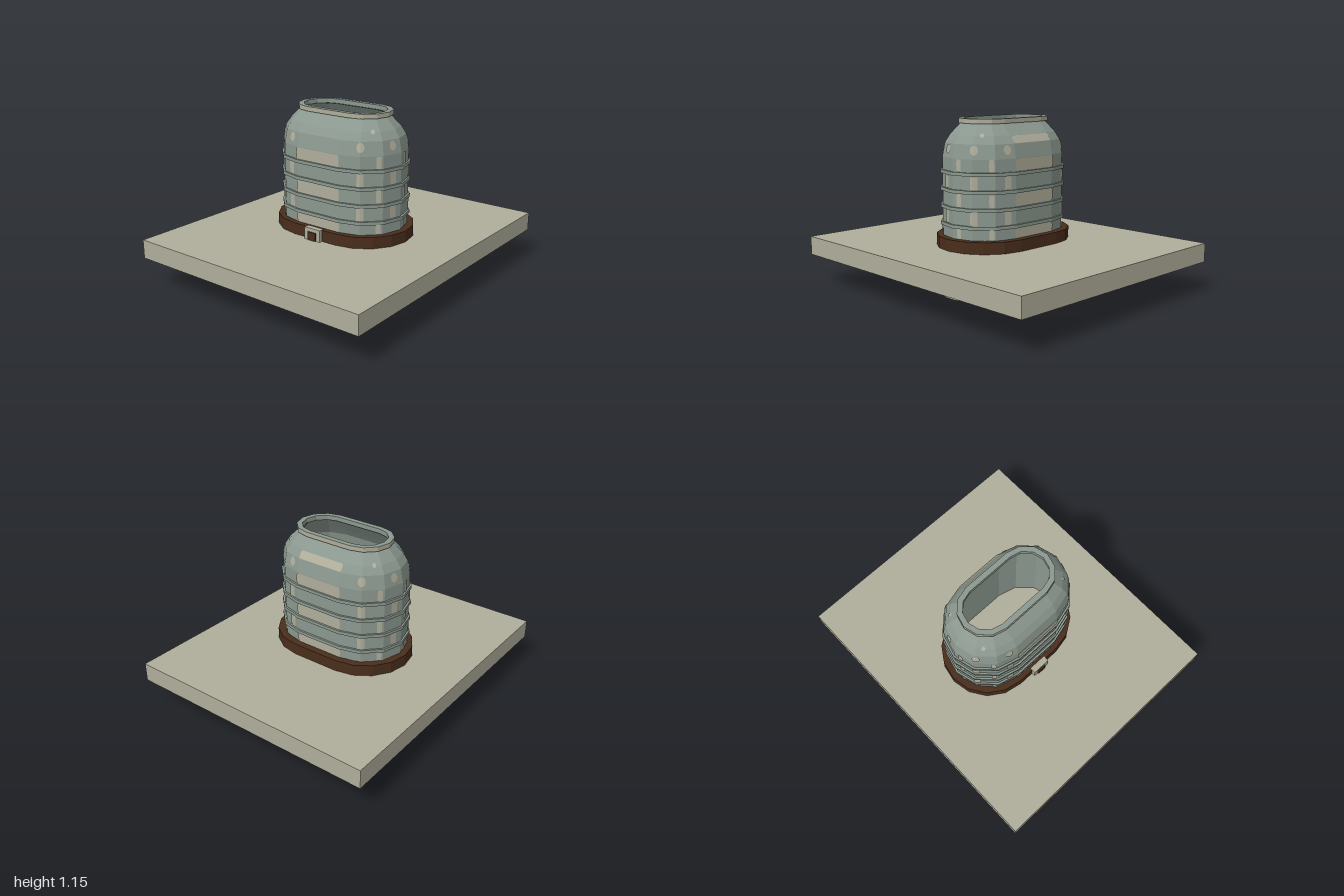
import * as THREE from 'three';

const mat = (name, color, side = THREE.FrontSide) => {
  const m = new THREE.MeshStandardMaterial({ color, side });
  m.name = name;
  return m;
};

const STRAIGHT = 0.165; // half length of the straight part of every oval section
const SEGS = 6;         // facets per half circle of the body
const BODY_Z = 0.005;

// Flat-faceted oval shell: profile is a list of [end radius, height].
// Going up faces outward, going down faces inward.
function ovalShell(profile, segs, z0 = 0) {
  const ring = ([r, y]) => {
    const pts = [];
    for (const half of [0, 1])
      for (let i = 0; i <= segs; i++) {
        const a = Math.PI * (half + i / segs);
        pts.push([(half ? -STRAIGHT : STRAIGHT) + r * Math.sin(a), y, z0 + r * Math.cos(a)]);
      }
    return pts;
  };
  const pos = [];
  for (let k = 0; k < profile.length - 1; k++) {
    const lo = ring(profile[k]), hi = ring(profile[k + 1]);
    lo.forEach((a, i) => {
      const j = (i + 1) % lo.length;
      pos.push(...a, ...lo[j], ...hi[j], ...a, ...hi[j], ...hi[i]);
    });
  }
  const g = new THREE.BufferGeometry();
  g.setAttribute('position', new THREE.Float32BufferAttribute(pos, 3));
  g.computeVertexNormals();
  return g;
}

// Outer silhouette of the body
const OUTER = [[0.278, 0.33], [0.278, 0.91], [0.26, 1.0], [0.228, 1.05], [0.16, 1.12]];

function bodyRadius(y) {
  for (let i = 0; i < OUTER.length - 1; i++) {
    const [r0, y0] = OUTER[i], [r1, y1] = OUTER[i + 1];
    if (y <= y1) return r0 + (r1 - r0) * (y - y0) / (y1 - y0);
  }
  return OUTER[OUTER.length - 1][0];
}

// Thin patch lying on the body. The place is an x on a straight side, or an angle on a round end.
// at(u, y) gives the point; the outline is a rounded rectangle, or an oval when round is 1.
function patch(at, halfWidth, y0, y1, round) {
  const rows = 8, cols = 8, pos = [], idx = [];
  for (let j = 0; j <= rows; j++) {
    const v = -Math.cos(Math.PI * j / rows);
    const corner = Math.sqrt(Math.max(0, 1 - v * v));
    const w = halfWidth * (1 - round + round * corner);
    for (let i = 0; i <= cols; i++)
      pos.push(...at(w * (2 * i / cols - 1), (y0 + y1) / 2 + v * (y1 - y0) / 2));
  }
  for (let j = 0; j < rows; j++)
    for (let i = 0; i < cols; i++) {
      const a = j * (cols + 1) + i, d = a + cols + 1;
      idx.push(a, a + 1, d + 1, a, d + 1, d);
    }
  const g = new THREE.BufferGeometry();
  g.setAttribute('position', new THREE.Float32BufferAttribute(pos, 3));
  g.setIndex(idx);
  g.computeVertexNormals();
  return g;
}
const onFlat = (sign) => (u, y) => [sign * u, y, BODY_Z + sign * (bodyRadius(y) + 0.004)];
const onEnd = (deg, sign) => (u, y) => {
  const r = bodyRadius(y), step = Math.PI / SEGS;
  const a = THREE.MathUtils.degToRad(deg) + u / 0.28;
  const local = a - Math.floor(a / step) * step - step / 2;
  const d = r * Math.cos(step / 2) / Math.cos(local) + 0.005;
  return [sign * (STRAIGHT + d * Math.sin(a)), y, BODY_Z + sign * d * Math.cos(a)];
};

// Curved wall piece standing on its arc, angles in degrees from +x toward +z
function arcWall(r, t, y0, y1, a0, a1, n) {
  const pts = [];
  const add = (rad, k) => {
    const a = THREE.MathUtils.degToRad(a0 + (a1 - a0) * k / n);
    pts.push(new THREE.Vector2(rad * Math.cos(a), rad * Math.sin(a)));
  };
  for (let k = 0; k <= n; k++) add(r, k);
  for (let k = n; k >= 0; k--) add(r - t, k);
  const g = new THREE.ExtrudeGeometry(new THREE.Shape(pts), { depth: y1 - y0, bevelEnabled: false });
  return g.rotateX(Math.PI / 2).translate(0, y1, 0);
}

export function createModel() {
  const model = new THREE.Group();
  const beige = mat('beige', 0xb0ae9b);
  const patchBeige = mat('patchBeige', 0xb0ae9b, THREE.DoubleSide);
  const greyGreen = mat('greyGreen', 0x8b988f);
  const brown = mat('brown', 0x4a2e1c);

  const add = (name, geo, material, parent = model) => {
    const m = new THREE.Mesh(geo, material);
    m.name = name;
    parent.add(m);
    return m;
  };
  const box = (name, w, h, d, x, y, z, material) =>
    add(name, new THREE.BoxGeometry(w, h, d).translate(x, y, z), material);

  // Slab
  box('baseSlab', 1.724, 0.125, 2, 0, 0.2675, 0, beige);

  // Hollow body and rim
  add('bodyOuter', ovalShell(OUTER, SEGS, BODY_Z), greyGreen);
  add('bodyInner', ovalShell([[0.14, 1.12], [0.2, 1.04], [0.235, 0.99], [0.255, 0.9], [0.255, 0.33]], SEGS, BODY_Z), greyGreen);
  add('rimTop', ovalShell([[0.176, 1.15], [0.14, 1.15], [0.14, 1.12]], SEGS), greyGreen);
  add('rimWall', ovalShell([[0.15, 1.12], [0.176, 1.12], [0.176, 1.15]], SEGS), beige);

  // Ribs
  for (const y of [0.484, 0.595, 0.706, 0.817])
    add('rib', ovalShell([[0.27, y - 0.011], [0.291, y - 0.011], [0.291, y + 0.011], [0.27, y + 0.011]], SEGS, BODY_Z), greyGreen);

  // Band around the foot with its buckle
  add('band', ovalShell([[0.32, 0.33], [0.32, 0.405], [0.27, 0.405]], 8), brown);
  for (const s of [-1, 1]) box('buckleSide', 0.03, 0.08, 0.04, s * 0.0475, 0.37, 0.325, beige);
  box('buckleTop', 0.065, 0.024, 0.04, 0, 0.398, 0.325, beige);
  box('buckleTongue', 0.06, 0.054, 0.042, 0, 0.358, 0.332, brown);

  // Pale patches: wide ones on the flat sides, narrow ones and ovals on the round ends
  const patches = new THREE.Group();
  patches.name = 'patches';
  model.add(patches);
  for (const s of [1, -1]) {
    for (const [y0, y1] of [[0.83, 0.908], [0.61, 0.692], [0.408, 0.472]]) {
      add('widePatch', patch(onFlat(s), 0.172, y0, y1, 0.06), patchBeige, patches);
      for (const a of [54, 100, 145])
        add('narrowPatch', patch(onEnd(a, s), 0.016, y0, y1, 0.2), patchBeige, patches);
    }
    for (const a of [30, 76, 122, 168]) {
      for (const [y0, y1] of [[0.72, 0.802], [0.498, 0.582]])
        add('stripPatch', patch(onEnd(a, s), 0.023, y0, y1, 0), patchBeige, patches);
      add('ovalPatch', patch(onEnd(a, s), 0.026, 0.935, 0.995, 1), patchBeige, patches);
    }
    for (const a of [48, 132])
      add('smallOvalPatch', patch(onEnd(a, s), 0.015, 1.04, 1.065, 1), patchBeige, patches);
  }
  add('shoulderPatch', patch(onFlat(-1), 0.165, 1.003, 1.048, 0.06), patchBeige, patches);

  // Half-ring legs under the slab, with pale end facets
  for (const s of [1, -1]) {
    const leg = new THREE.Group();
    leg.name = s > 0 ? 'leftLeg' : 'rightLeg';
    leg.position.set(s * 0.252, 0, 0.052);
    model.add(leg);
    const a = s > 0 ? -45 : 45;
    add('legUpper', arcWall(0.176, 0.018, 0.15, 0.21, a, a + 180, 6), greyGreen, leg);
    add('legLower', arcWall(0.188, 0.03, 0, 0.15, a + 30, a + 150, 4), greyGreen, leg);
    for (const e of [0, 150])
      add('legEnd', arcWall(0.188, 0.03, 0, 0.15, a + e, a + e + 30, 1), beige, leg);
  }
  return model;
}
